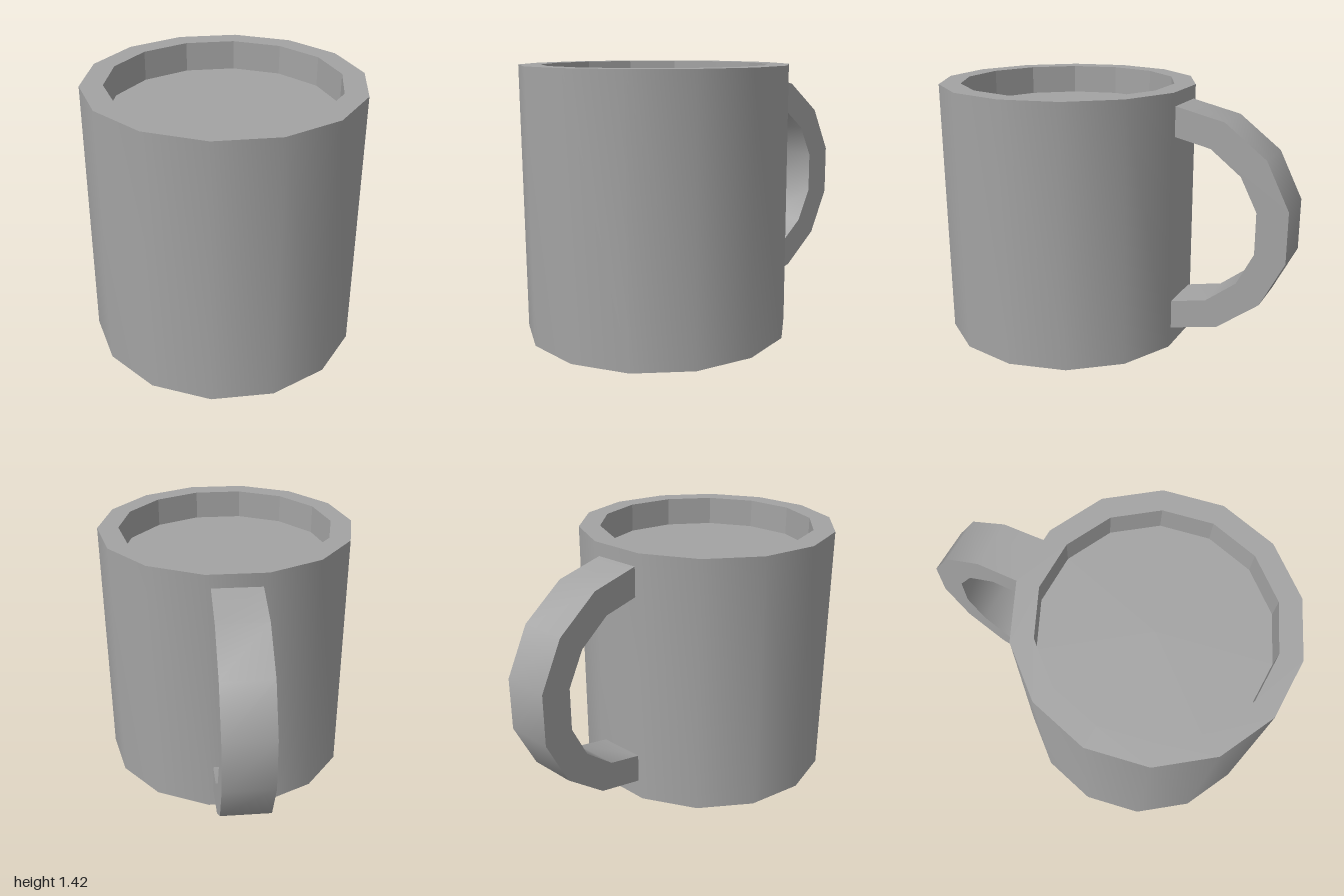
import * as THREE from 'three';
import { toCreasedNormals } from 'three/addons/utils/BufferGeometryUtils.js';

const SIDES = 14;
const RADIUS = 0.71, INNER = 0.594, HEIGHT = 1.42, FLOOR = 1.26;
const BODY_Z = 0.308;

export function createModel() {
  const group = new THREE.Group();
  group.name = 'mug';
  const grey = new THREE.MeshStandardMaterial({ color: 0xa3a3a3 });
  grey.name = 'grey';

  const add = (name, geometry, z = 0) => {
    const mesh = new THREE.Mesh(geometry, grey);
    mesh.name = name;
    mesh.position.z = z;
    group.add(mesh);
  };

  // Fourteen-sided turned shape with a corner on the x axis
  const turned = (profile, creaseDegrees) => toCreasedNormals(
    new THREE.LatheGeometry(profile.map(([r, y]) => new THREE.Vector2(r, y)), SIDES, Math.PI / 2),
    THREE.MathUtils.degToRad(creaseDegrees));

  // Smooth outer wall with base and rim
  add('body', turned([[0, 0], [RADIUS, 0], [RADIUS, HEIGHT], [INNER, HEIGHT]], 35), BODY_Z);
  // Faceted shallow inside
  add('inside', turned([[INNER, HEIGHT], [INNER, FLOOR], [0, FLOOR]], 10), BODY_Z);

  // Handle: upper half of each edge as [distance back, height above middle], mirrored below
  const middle = 0.726, width = 0.26;
  const outer = [[0.375, 0.623], [0.65, 0.56], [0.875, 0.388], [1, 0.138]];
  const inner = [[0.375, 0.463], [0.58, 0.418], [0.745, 0.29], [0.835, 0.113]];
  const mirrored = (half) => [...half, ...half.map(([b, h]) => [b, -h]).reverse()];
  const outline = [...mirrored(outer), ...mirrored(inner).reverse()];
  const shape = new THREE.Shape(outline.map(([b, h]) => new THREE.Vector2(b, middle + h)));
  const handle = new THREE.ExtrudeGeometry(shape, { depth: width, bevelEnabled: false });
  handle.translate(0, 0, -width / 2);
  handle.rotateY(Math.PI / 2);
  add('handle', toCreasedNormals(handle, THREE.MathUtils.degToRad(35)));

  return group;
}
